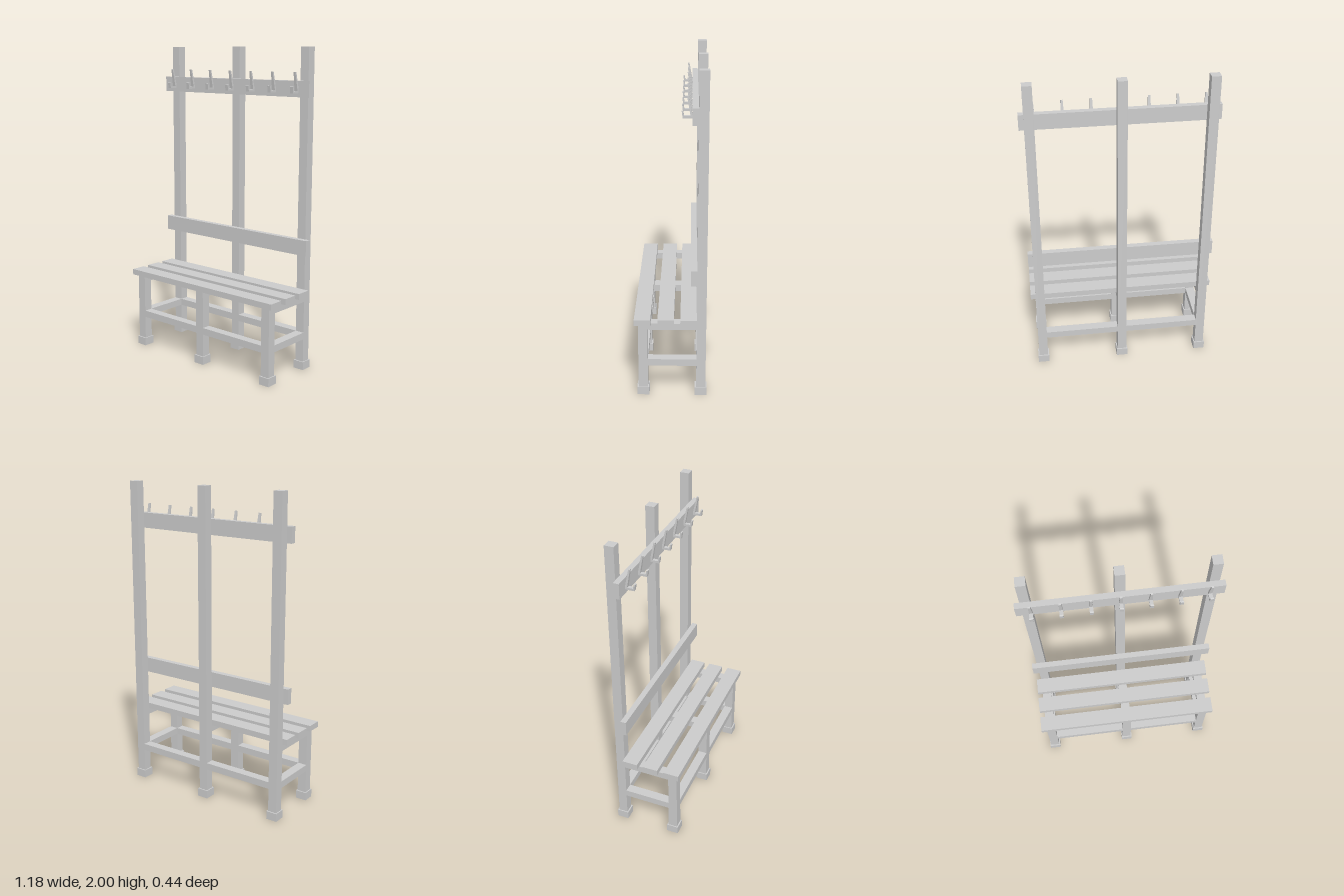
import * as THREE from 'three';

const material = new THREE.MeshStandardMaterial({ color: 0xcccccc, flatShading: true });

export function createModel() {
  const model = new THREE.Group();
  model.name = 'coatRackBench';

  // Box given by its limits on each axis
  function box(name, [x0, x1], [y0, y1], [z0, z1]) {
    const mesh = new THREE.Mesh(new THREE.BoxGeometry(x1 - x0, y1 - y0, z1 - z0), material);
    mesh.position.set((x0 + x1) / 2, (y0 + y1) / 2, (z0 + z1) / 2);
    mesh.name = name;
    model.add(mesh);
  }

  const frameX = [-0.53, 0, 0.53];
  const half = 0.029;
  const backZ = [-0.212, -0.155];
  const frontZ = [0.14, 0.197];
  const railY = [0.2, 0.244];
  const boardX = [-0.59, 0.59];

  // Three frames: tall post, short leg, seat bearer and feet
  frameX.forEach((x) => {
    const width = [x - half, x + half];
    box('backPost', width, [0.03, 2], backZ);
    box('frontLeg', width, [0.03, 0.487], frontZ);
    box('seatBearer', width, [0.445, 0.487], [backZ[1], frontZ[0]]);
    for (const [z0, z1] of [backZ, frontZ]) {
      const z = (z0 + z1) / 2;
      box('foot', [x - 0.036, x + 0.036], [0, 0.052], [z - 0.037, z + 0.037]);
    }
    // Lower side rails on the two end frames
    if (x !== 0) box('sideRail', width, railY, [backZ[1], frontZ[0]]);
  });

  // Lower rails between neighbouring frames
  for (let i = 0; i < 2; i++) {
    const span = [frameX[i] + half, frameX[i + 1] - half];
    box('backRail', span, railY, backZ);
    box('frontRail', span, railY, frontZ);
  }

  // Seat slats
  for (const z of [-0.155, -0.019, 0.121]) {
    box('seatSlat', boardX, [0.487, 0.524], [z, z + 0.098]);
  }

  // Backrest and hook board
  box('backrest', boardX, [0.747, 0.843], [-0.155, -0.119]);
  box('hookBoard', boardX, [1.706, 1.802], [-0.155, -0.119]);

  // Coat hooks: side profile (z, y), narrowing toward the top of the long arm
  const profile = [
    [-0.121, 1.73], [-0.065, 1.73], [-0.06, 1.768], [-0.068, 1.77], [-0.073, 1.743],
    [-0.108, 1.743], [-0.089, 1.853], [-0.099, 1.855], [-0.121, 1.743],
  ];
  const hookShape = new THREE.Shape(profile.map(([z, y]) => new THREE.Vector2(z, y)));
  const hookGeometry = new THREE.ExtrudeGeometry(hookShape, { depth: 0.022, bevelEnabled: false });
  hookGeometry.translate(0, 0, -0.011).rotateY(-Math.PI / 2);
  const position = hookGeometry.attributes.position;
  for (let i = 0; i < position.count; i++) {
    const t = THREE.MathUtils.clamp((position.getY(i) - 1.77) / 0.085, 0, 1);
    position.setX(i, position.getX(i) * (1 - 0.4 * t));
  }
  hookGeometry.computeVertexNormals();
  for (let i = -3; i <= 3; i++) {
    const hook = new THREE.Mesh(hookGeometry, material);
    hook.name = 'coatHook';
    hook.position.x = i * 0.168;
    model.add(hook);
  }

  return model;
}
